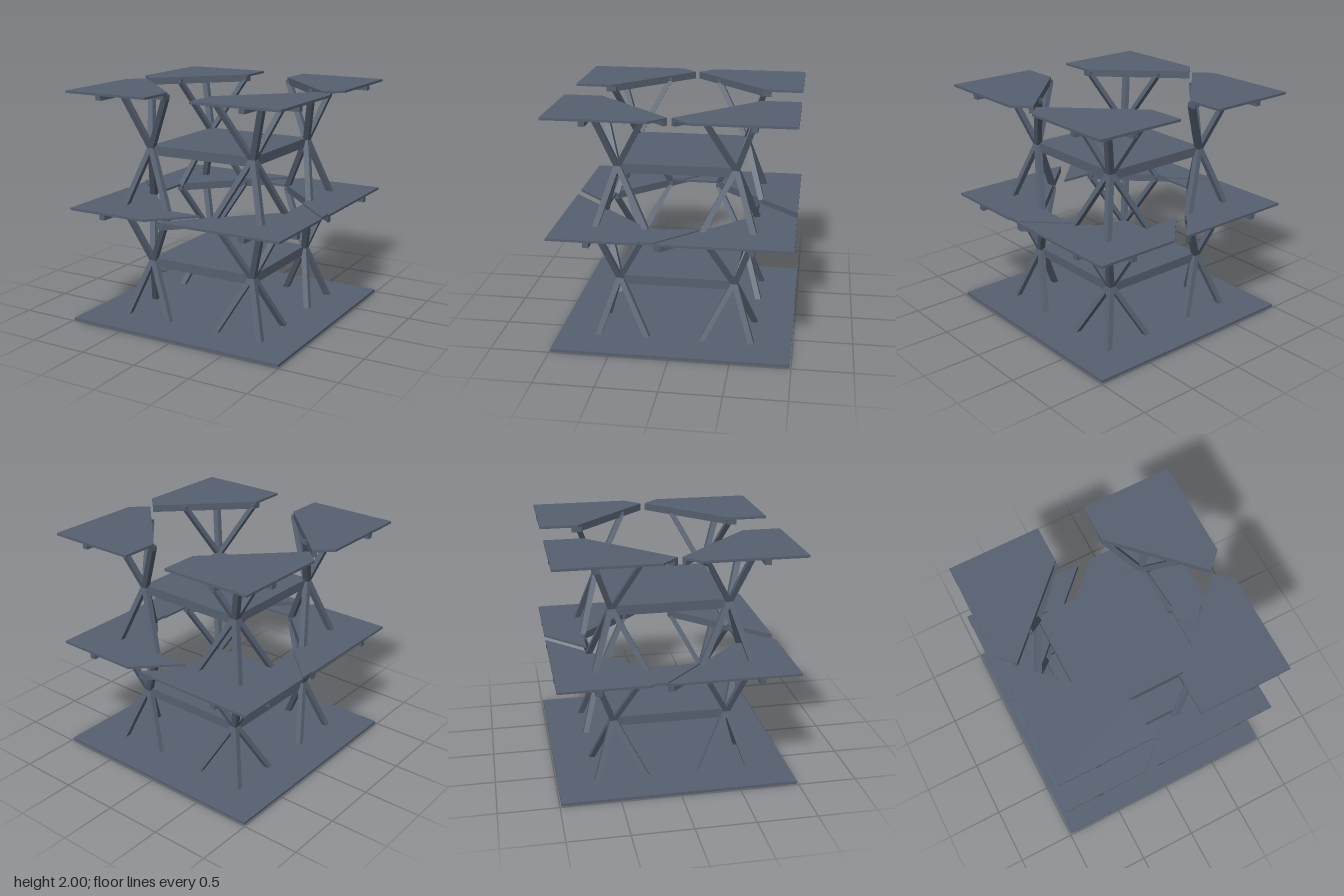
import * as THREE from 'three';

const slate = new THREE.MeshStandardMaterial({ color: 0x566070 });
slate.name = 'slate';

const EDGE = 0.988;   // half width of the decks
const ARM = 0.66;     // beam cross and outer strut offset
const NODE = 0.49;    // column joint offset
const CUT = 0.87;     // |x| + |z| on the diagonal inner deck edge
const STRUT = 0.05;

function add(parent, name, geometry) {
  const mesh = new THREE.Mesh(geometry, slate);
  mesh.name = name;
  parent.add(mesh);
  return mesh;
}

// Flat prism from a plan outline of [x, z] points
function prism(points, y0, y1) {
  const shape = new THREE.Shape(points.map(([x, z]) => new THREE.Vector2(x, -z)));
  const g = new THREE.ExtrudeGeometry(shape, { depth: y1 - y0, bevelEnabled: false });
  return g.rotateX(-Math.PI / 2).translate(0, y0, 0);
}

function box(x0, x1, y0, y1, z0, z1) {
  return new THREE.BoxGeometry(x1 - x0, y1 - y0, z1 - z0)
    .translate((x0 + x1) / 2, (y0 + y1) / 2, (z0 + z1) / 2);
}

// Leaning strut with level ends: a box sheared between two points
function strut(a, b) {
  const h = b[1] - a[1];
  const g = new THREE.BoxGeometry(STRUT, h, STRUT).translate(0, h / 2, 0);
  const p = g.attributes.position;
  for (let i = 0; i < p.count; i++) {
    const t = p.getY(i) / h;
    p.setXYZ(i, p.getX(i) + a[0] + (b[0] - a[0]) * t, p.getY(i) + a[1],
      p.getZ(i) + a[2] + (b[2] - a[2]) * t);
  }
  g.computeVertexNormals();
  return g;
}

// Beam cross below a deck corner
function beamCross(parent, y0, y1) {
  add(parent, 'crossBeamX', box(0.205, EDGE - 0.002, y0, y1, ARM - 0.025, ARM + 0.025));
  add(parent, 'crossBeamZ', box(ARM - 0.025, ARM + 0.025, y0 + 0.001, y1, 0.205, EDGE - 0.002));
}

export function createModel() {
  const model = new THREE.Group();
  model.name = 'tieredPavilion';

  add(model, 'basePlate', box(-EDGE, EDGE, 0, 0.025, -EDGE, EDGE));

  // Square floors between the column joints
  for (const y of [0.433, 1.427]) {
    add(model, 'squareFloor', box(-0.495, 0.495, y, y + 0.08, -0.495, 0.495));
  }

  // Finger and diagonal coordinates shared by the middle deck
  const tip = 0.75 - ARM, inner = CUT - 0.655;

  for (let i = 0; i < 4; i++) {
    // Each quarter is built at +x +z, then turned about the centre
    const quarter = new THREE.Group();
    quarter.name = 'quarter' + (i + 1);
    quarter.rotation.y = i * Math.PI / 2;
    model.add(quarter);

    // Tripods below and above each joint
    const column = new THREE.Group();
    column.name = 'column';
    quarter.add(column);
    for (const [joint, low, high] of [[0.495, 0.015, 0.96], [1.49, 1.0, 1.955]]) {
      for (const [x, z] of [[0.655, 0.655], [0.655, 0.23], [0.23, 0.655]]) {
        add(column, 'lowerStrut', strut([x, low, z], [NODE, joint + 0.01, NODE]));
        add(column, 'upperStrut', strut([NODE, joint - 0.01, NODE], [x, high, z]));
      }
    }

    // Middle deck: pinwheel plate with a finger along one side
    const deck = new THREE.Group();
    deck.name = 'middleDeck';
    quarter.add(deck);
    add(deck, 'middleDeckPlate', prism([
      [CUT - EDGE, EDGE], [EDGE, EDGE], [EDGE, EDGE - 0.745],
      [0.655, -tip], [0.655, inner],
    ], 0.99, 1.01));
    add(deck, 'middleDiagonalBeam', prism([
      [CUT - EDGE + 0.002, EDGE - 0.002], [CUT - EDGE + 0.055, EDGE - 0.002],
      [0.685, 0.24], [0.655, inner],
    ], 0.944, 0.99));
    beamCross(deck, 0.946, 0.99);

    // Bridge plates close the slits on the two sides only
    if (i % 2 === 0) {
      add(deck, 'bridgePlate', prism([
        [0.655, -tip], [EDGE, EDGE - 0.745], [EDGE, EDGE - CUT], [0.655, -inner],
      ], 1.0, 1.022));
    }
  }

  // Roof corners, mirrored across both axes
  for (const sx of [1, -1]) for (const sz of [1, -1]) {
    const roof = new THREE.Group();
    roof.name = 'roofCorner';
    model.add(roof);
    const flip = (pts) => pts.map(([x, z]) => [x * sx, z * sz]);
    add(roof, 'roofPlate', prism(flip([
      [0.205, EDGE], [EDGE, EDGE], [EDGE, 0.15], [0.853, 0.017], [0.205, CUT - 0.205],
    ]), 1.98, 2));
    add(roof, 'roofDiagonalBeam', prism(flip([
      [0.205, CUT - 0.205], [0.205, CUT - 0.15], [0.88, 0.045], [0.853, 0.017],
    ]), 1.938, 1.98));
    const a = 0.205, b = EDGE - 0.002, m = ARM - 0.025, n = ARM + 0.025;
    add(roof, 'roofBeamX', prism(flip([[a, m], [b, m], [b, n], [a, n]]), 1.94, 1.98));
    add(roof, 'roofBeamZ', prism(flip([[m, a], [n, a], [n, b], [m, b]]), 1.941, 1.98));
  }

  return model;
}
